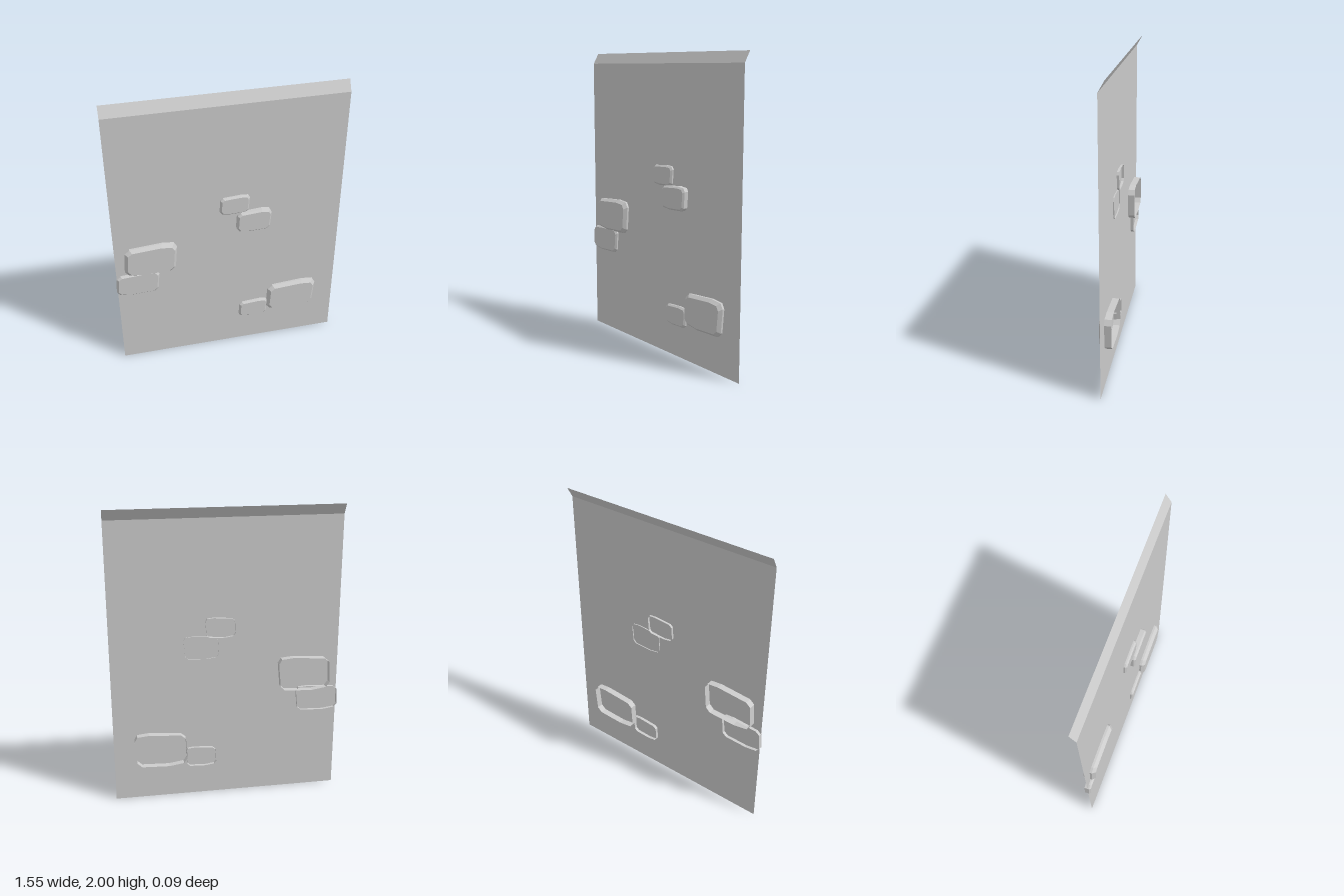
import * as THREE from 'three';

const material = new THREE.MeshStandardMaterial({
  color: 0xcccccc, flatShading: true, side: THREE.DoubleSide,
});

// Chipped-brick outline in a -1..1 box, counter-clockwise from the front
const OUTLINE = [
  [-1, -0.6], [-0.86, -0.87], [-0.3, -1], [0.74, -0.94], [0.92, -0.69],
  [1, 0.64], [0.89, 0.93], [0.44, 1], [-0.77, 0.87], [-0.95, 0.64],
];

function meshFrom(name, positions, indices) {
  let geometry = new THREE.BufferGeometry();
  geometry.setAttribute('position', new THREE.Float32BufferAttribute(positions, 3));
  geometry.setIndex(indices);
  geometry = geometry.toNonIndexed();
  geometry.computeVertexNormals();
  const mesh = new THREE.Mesh(geometry, material);
  mesh.name = name;
  return mesh;
}

// Brick: straight sides, bevelled front rim, flat face, open back
function makeBrick({ name, x, y, w, h, front, back, bevel, inset }) {
  const n = OUTLINE.length;
  const positions = [];
  const indices = [];
  const rings = [[back, 0], [front - bevel, 0], [front, inset]];
  for (const [z, shrink] of rings) {
    for (const [u, v] of OUTLINE) {
      positions.push(x + u * (w / 2 - shrink), y + v * (h / 2 - shrink), z);
    }
  }
  for (let r = 0; r < rings.length - 1; r++) {
    for (let i = 0; i < n; i++) {
      const a = r * n + i;
      const b = r * n + (i + 1) % n;
      indices.push(a, b, b + n, a, b + n, a + n);
    }
  }
  const cap = (rings.length - 1) * n;
  for (let i = 1; i < n - 1; i++) indices.push(cap, cap + i, cap + i + 1);
  return meshFrom(name, positions, indices);
}

// Thin wall sheet whose top edge folds backward
function makeWall() {
  const profile = [[0, 0], [1.93, 0], [2, -0.04]];
  const positions = [];
  const indices = [];
  profile.forEach(([y, z], i) => {
    positions.push(-0.769, y, z, 0.772, y, z);
    if (i > 0) {
      const a = (i - 1) * 2;
      indices.push(a, a + 1, a + 3, a, a + 3, a + 2);
    }
  });
  return meshFrom('wallPanel', positions, indices);
}

export function createModel() {
  const model = new THREE.Group();
  model.name = 'brickWall';
  model.add(makeWall());

  const large = { w: 0.357, h: 0.24, front: 0.036, back: -0.045, bevel: 0.022, inset: 0.019 };
  const small = { front: 0.021, back: -0.021, bevel: 0.011, inset: 0.011 };
  const bricks = [
    { ...large, name: 'largeBrickLeft', x: -0.531, y: 0.859 },
    { ...large, name: 'largeBrickRight', x: 0.455, y: 0.363 },
    { ...small, name: 'lowerBrickLeft', x: -0.628, y: 0.67, w: 0.294, h: 0.18 },
    { ...small, name: 'lowerBrickRight', x: 0.179, y: 0.286, w: 0.209, h: 0.142 },
    { ...small, name: 'upperBrickA', x: 0.04, y: 1.209, w: 0.201, h: 0.138, back: -0.016 },
    { ...small, name: 'upperBrickB', x: 0.168, y: 1.075, w: 0.235, h: 0.161, front: 0.04, back: -0.007 },
  ];
  for (const brick of bricks) model.add(makeBrick(brick));
  return model;
}
